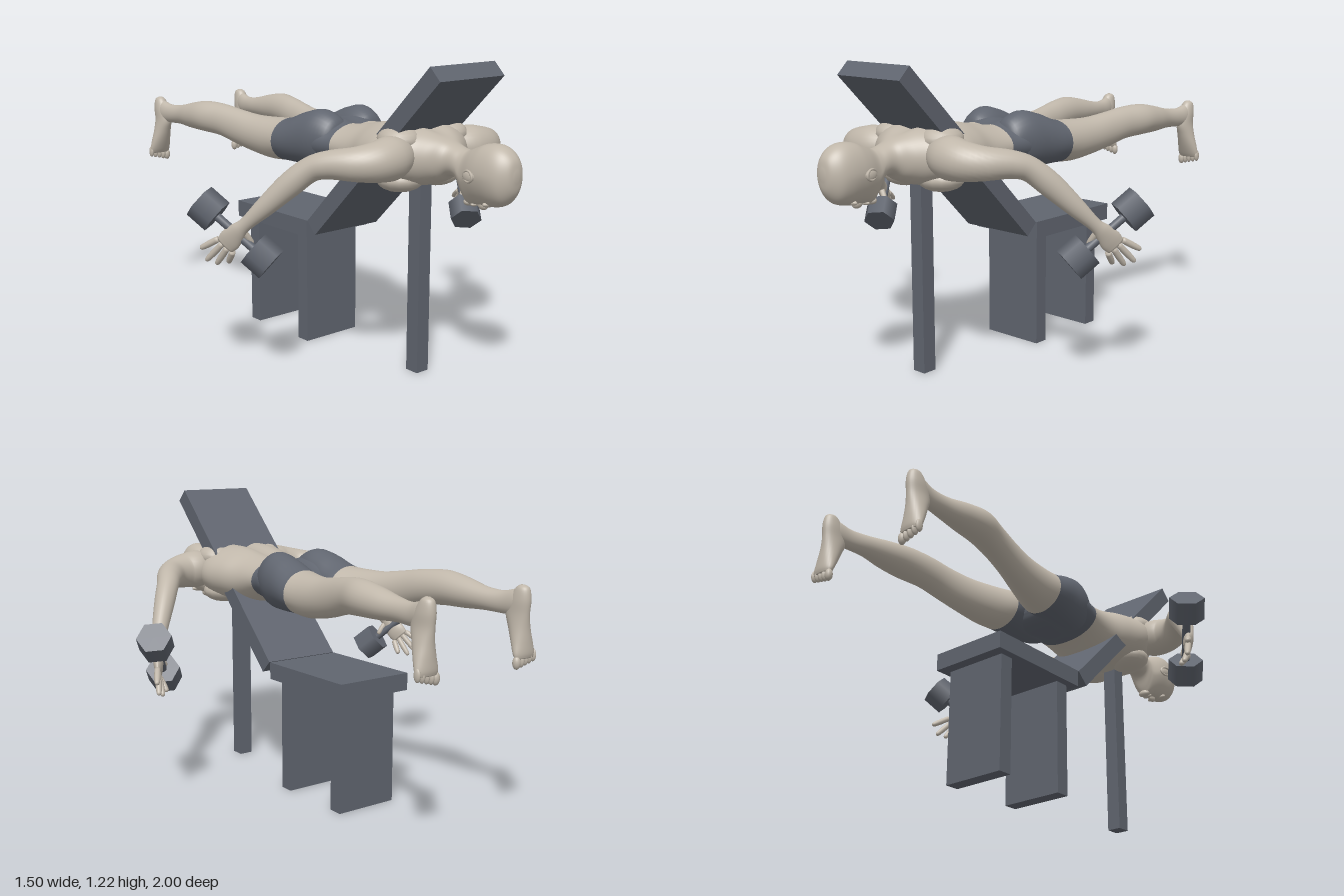
import * as THREE from 'three';

const skin = new THREE.MeshStandardMaterial({ color: 0xc0b7aa });
skin.name = 'skin';
const slate = new THREE.MeshStandardMaterial({ color: 0x60656f });
slate.name = 'slate';
const V = (x, y, z) => new THREE.Vector3(x, y, z);

// Smooth closed skin over interpolated rows; place(row, angle, tangent) gives each point.
// Faces between the waistband and hem of the shorts go to the second material.
function loft(name, rows, place, { steps = 5, sides = 28, shorts = false } = {}) {
  const size = rows[0].length, last = rows.length - 1;
  const spline = new THREE.CubicInterpolant(Float32Array.from(rows.keys()), Float32Array.from(rows.flat()), size);
  const at = t => Array.from(spline.evaluate(Math.min(last, Math.max(0, t))));
  const rings = [];
  for (let k = 0; k <= last * steps; k++) {
    const t = k / steps, a = at(t - 0.1), b = at(t + 0.1), row = at(t);
    const tangent = V(b[0] - a[0], b[1] - a[1], b[2] - a[2]).normalize();
    rings.push(Array.from({ length: sides }, (_, i) => place(row, i / sides * Math.PI * 2, tangent)));
  }
  const points = rings.flat(), faces = [];
  for (let k = 0; k + 1 < rings.length; k++) {
    for (let i = 0; i < sides; i++) {
      const j = (i + 1) % sides, p = k * sides, q = p + sides;
      faces.push([p + i, p + j, q + j], [p + i, q + j, q + i]);
    }
  }
  // close both ends
  for (const k of [0, rings.length - 1]) {
    const c = points.length;
    points.push(rings[k].reduce((s, p) => s.add(p), V(0, 0, 0)).divideScalar(sides));
    for (let i = 0; i < sides; i++) {
      const a = k * sides + i, b = k * sides + (i + 1) % sides;
      faces.push(k ? [a, b, c] : [b, a, c]);
    }
  }
  // make every face look outward
  const middle = rings[rings.length >> 1][0];
  let volume = 0;
  for (const f of faces) {
    const [a, b, c] = f.map(i => points[i].clone().sub(middle));
    volume += a.dot(b.cross(c));
  }
  if (volume < 0) faces.forEach(f => f.reverse());
  const isShorts = f => {
    const z = f.reduce((s, i) => s + points[i].z, 0) / 3;
    return shorts && z < 0.19 && z > -0.12;
  };
  const bare = faces.filter(f => !isShorts(f)).flat(), cloth = faces.filter(isShorts).flat();
  const g = new THREE.BufferGeometry().setFromPoints(points);
  g.setIndex([...bare, ...cloth]);
  g.addGroup(0, bare.length, 0);
  if (cloth.length) g.addGroup(bare.length, cloth.length, 1);
  g.computeVertexNormals();
  const mesh = new THREE.Mesh(g, shorts ? [skin, slate] : skin);
  mesh.name = name;
  return mesh;
}

function box(name, w, h, d, x, y, z) {
  const mesh = new THREE.Mesh(new THREE.BoxGeometry(w, h, d), slate);
  mesh.position.set(x, y, z);
  mesh.name = name;
  return mesh;
}

function ball(name, x, y, z, rx, ry, rz) {
  const mesh = new THREE.Mesh(new THREE.SphereGeometry(1, 16, 12), skin);
  mesh.scale.set(rx, ry, rz);
  mesh.position.set(x, y, z);
  mesh.name = name;
  return mesh;
}

// Section across z: [z, half width, top, bottom, jaw taper, spine groove]
function trunkPoint([z, w, top, bottom, taper, groove], angle) {
  const c = Math.cos(angle), s = Math.sin(angle);
  const x = w * Math.sign(c) * Math.abs(c) ** 0.9 * (1 - taper * Math.max(0, -s));
  const dent = s > 0 ? groove * Math.exp(-((x / 0.035) ** 2)) : 0;
  return V(x, (top + bottom) / 2 + s * (top - bottom) / 2 - dent, z);
}

// Limb section: [x, y, z, radius along the grip, radius across it]
const limb = (name, rows, grip, options) => loft(name, rows, ([x, y, z, a, b], angle, t) => {
  const u = grip.clone().addScaledVector(t, -grip.dot(t)).normalize();
  const v = t.clone().cross(u);
  return V(x, y, z).addScaledVector(u, a * Math.cos(angle)).addScaledVector(v, b * Math.sin(angle));
}, options);

function dumbbell(s, name) {
  const g = new THREE.Group();
  g.name = name;
  const axis = V(0.123 * s, 0.17, -0.165).normalize();
  g.position.set(0.612 * s, 0.592, 0.18);
  g.quaternion.setFromUnitVectors(V(0, 1, 0), axis);
  const add = (part, r, h, sides, y) => {
    const mesh = new THREE.Mesh(new THREE.CylinderGeometry(r, r, h, sides).toNonIndexed(), slate);
    mesh.position.y = y;
    mesh.name = part;
    g.add(mesh);
  };
  add('handle', 0.016, 0.2, 20, 0);
  for (const e of [-1, 1]) add('hexWeight', 0.069, 0.09, 6, 0.134 * e);
  return { group: g, axis };
}

export function createModel() {
  const model = new THREE.Group();
  model.name = 'benchExercise';

  // Bench
  const bench = new THREE.Group();
  bench.name = 'bench';
  const board = box('backBoard', 0.335, 0.96, 0.07, 0, 0.855, 0.42);
  board.rotation.x = Math.PI / 4;
  bench.add(board,
    box('seat', 0.335, 0.07, 0.48, 0, 0.505, -0.19),
    box('frontSeatLeg', 0.27, 0.47, 0.06, 0, 0.235, -0.018),
    box('rearSeatLeg', 0.27, 0.47, 0.06, 0, 0.235, -0.355),
    box('frontPost', 0.06, 0.8, 0.06, 0, 0.4, 0.533));
  model.add(bench);

  // Head, neck and trunk in one run
  const person = new THREE.Group();
  person.name = 'person';
  model.add(person);
  person.add(loft('headAndTrunk', [
    [1.0, 0.012, 0.865, 0.835, 0, 0], [0.99, 0.04, 0.907, 0.785, 0, 0],
    [0.96, 0.066, 0.938, 0.745, 0, 0], [0.92, 0.078, 0.953, 0.729, 0.1, 0],
    [0.87, 0.08, 0.95, 0.726, 0.2, 0], [0.83, 0.075, 0.935, 0.724, 0.25, 0],
    [0.79, 0.063, 0.918, 0.717, 0.3, 0], [0.77, 0.058, 0.915, 0.745, 0.2, 0],
    [0.745, 0.056, 0.918, 0.8, 0, 0], [0.7, 0.065, 0.933, 0.808, 0, 0],
    [0.66, 0.115, 0.955, 0.785, 0, 0.005], [0.6, 0.18, 0.98, 0.76, 0, 0.018],
    [0.5, 0.222, 0.99, 0.745, 0, 0.02], [0.4, 0.202, 0.985, 0.74, 0, 0.018],
    [0.3, 0.168, 0.965, 0.75, 0, 0.014], [0.19, 0.166, 0.95, 0.778, 0, 0.01],
    [0.1, 0.184, 0.965, 0.77, 0, 0.015], [0, 0.19, 0.95, 0.765, 0, 0.02],
    [-0.06, 0.14, 0.9, 0.785, 0, 0], [-0.08, 0.05, 0.86, 0.82, 0, 0],
  ], trunkPoint, { steps: 5, sides: 56, shorts: true }));

  // Face
  person.add(ball('nose', 0, 0.724, 0.848, 0.013, 0.018, 0.024));
  person.add(ball('lips', 0, 0.722, 0.812, 0.024, 0.009, 0.011));
  person.add(ball('chin', 0, 0.727, 0.785, 0.028, 0.016, 0.018));
  person.add(ball('brow', 0, 0.738, 0.89, 0.05, 0.013, 0.014));

  for (const s of [1, -1]) {
    const side = s > 0 ? 'left' : 'right';

    // Ear with a raised rim
    person.add(ball(side + 'Ear', 0.082 * s, 0.838, 0.848, 0.009, 0.02, 0.026));
    const rim = new THREE.Mesh(new THREE.TorusGeometry(0.022, 0.005, 8, 20), skin);
    rim.position.set(0.088 * s, 0.84, 0.85);
    rim.rotation.y = Math.PI / 2 + 0.3 * s;
    rim.scale.set(1.25, 0.9, 1);
    rim.name = side + 'EarRim';
    person.add(rim);

    // Chest and shoulder blade
    person.add(ball(side + 'Chest', 0.095 * s, 0.782, 0.52, 0.095, 0.05, 0.09));
    person.add(ball(side + 'ShoulderBlade', 0.125 * s, 0.935, 0.54, 0.08, 0.052, 0.085));

    // Leg
    person.add(loft(side + 'Leg', [
      [0.175, 0.03, 0.91, 0.85, 0.09], [0.15, 0.07, 0.965, 0.795, 0.092],
      [0.08, 0.092, 0.995, 0.764, 0.1], [0, 0.1, 0.98, 0.76, 0.107],
      [-0.07, 0.105, 0.953, 0.762, 0.112], [-0.12, 0.103, 0.94, 0.762, 0.115],
      [-0.2, 0.087, 0.935, 0.76, 0.13], [-0.3, 0.07, 0.935, 0.775, 0.15],
      [-0.4, 0.06, 0.948, 0.797, 0.17], [-0.5, 0.061, 0.963, 0.823, 0.187],
      [-0.6, 0.067, 0.968, 0.833, 0.207], [-0.7, 0.058, 0.952, 0.836, 0.211],
      [-0.8, 0.04, 0.93, 0.842, 0.211], [-0.88, 0.03, 0.924, 0.84, 0.219],
      [-0.94, 0.029, 0.937, 0.84, 0.226], [-0.975, 0.02, 0.93, 0.86, 0.227],
    ], ([z, w, top, bottom, xc], a) =>
      V(s * xc + w * Math.cos(a), (top + bottom) / 2 + Math.sin(a) * (top - bottom) / 2, z), { shorts: true }));

    // Foot hanging toes down, sole to the rear: [y, middle z, half depth, middle x, half width]
    person.add(loft(side + 'Foot', [
      [0.953, -0.962, 0.01, 0.228, 0.008], [0.94, -0.963, 0.028, 0.228, 0.022],
      [0.9, -0.953, 0.045, 0.228, 0.03], [0.85, -0.943, 0.051, 0.228, 0.031],
      [0.8, -0.95, 0.042, 0.231, 0.037], [0.75, -0.961, 0.033, 0.234, 0.045],
      [0.71, -0.971, 0.024, 0.235, 0.05], [0.69, -0.975, 0.016, 0.235, 0.046],
    ], ([y, zc, d, xc, w], a) => V(s * xc + w * Math.cos(a), y, zc + d * Math.sin(a))));
    for (let i = 0; i < 5; i++) {
      const r = i ? 0.0105 - i * 0.0004 : 0.015;
      person.add(ball(side + 'Toe', s * (i ? 0.197 + i * 0.0205 : 0.196), 0.676 + i * 0.005, -0.976, r, 0.025, 0.015));
    }

    // Dumbbell, arm and hand
    const { group, axis } = dumbbell(s, side + 'Dumbbell');
    model.add(group);
    const sided = rows => rows.map(([x, ...rest]) => [s * x, ...rest]);
    person.add(limb(side + 'Arm', sided([
      [0.13, 0.885, 0.565, 0.06, 0.06], [0.2, 0.88, 0.58, 0.082, 0.08],
      [0.27, 0.875, 0.583, 0.076, 0.073], [0.34, 0.87, 0.55, 0.064, 0.06],
      [0.4, 0.865, 0.475, 0.053, 0.052], [0.44, 0.845, 0.415, 0.047, 0.046],
      [0.49, 0.785, 0.355, 0.047, 0.042], [0.55, 0.7, 0.285, 0.037, 0.033],
      [0.595, 0.63, 0.225, 0.026, 0.022], [0.612, 0.6, 0.197, 0.034, 0.021],
      [0.626, 0.565, 0.168, 0.043, 0.018], [0.637, 0.54, 0.148, 0.038, 0.012],
    ]), axis));
    const fingers = [
      [[0.62, 0.517, 0.172], [0.61, 0.465, 0.13]], [[0.632, 0.532, 0.157], [0.645, 0.458, 0.1]],
      [[0.642, 0.548, 0.142], [0.675, 0.472, 0.076]], [[0.652, 0.563, 0.128], [0.69, 0.52, 0.062]],
      [[0.603, 0.607, 0.212], [0.563, 0.548, 0.222]],
    ];
    fingers.forEach(([base, tip], i) => {
      const rows = [[0, 0.012], [0.5, 0.0125], [0.9, 0.01], [1, 0.004]].map(([t, r]) =>
        [...base.map((b, k) => b + (tip[k] - b) * t), r, r]);
      person.add(limb(side + (i < 4 ? 'Finger' : 'Thumb'), sided(rows), axis, { steps: 4, sides: 12 }));
    });
  }
  return model;
}
